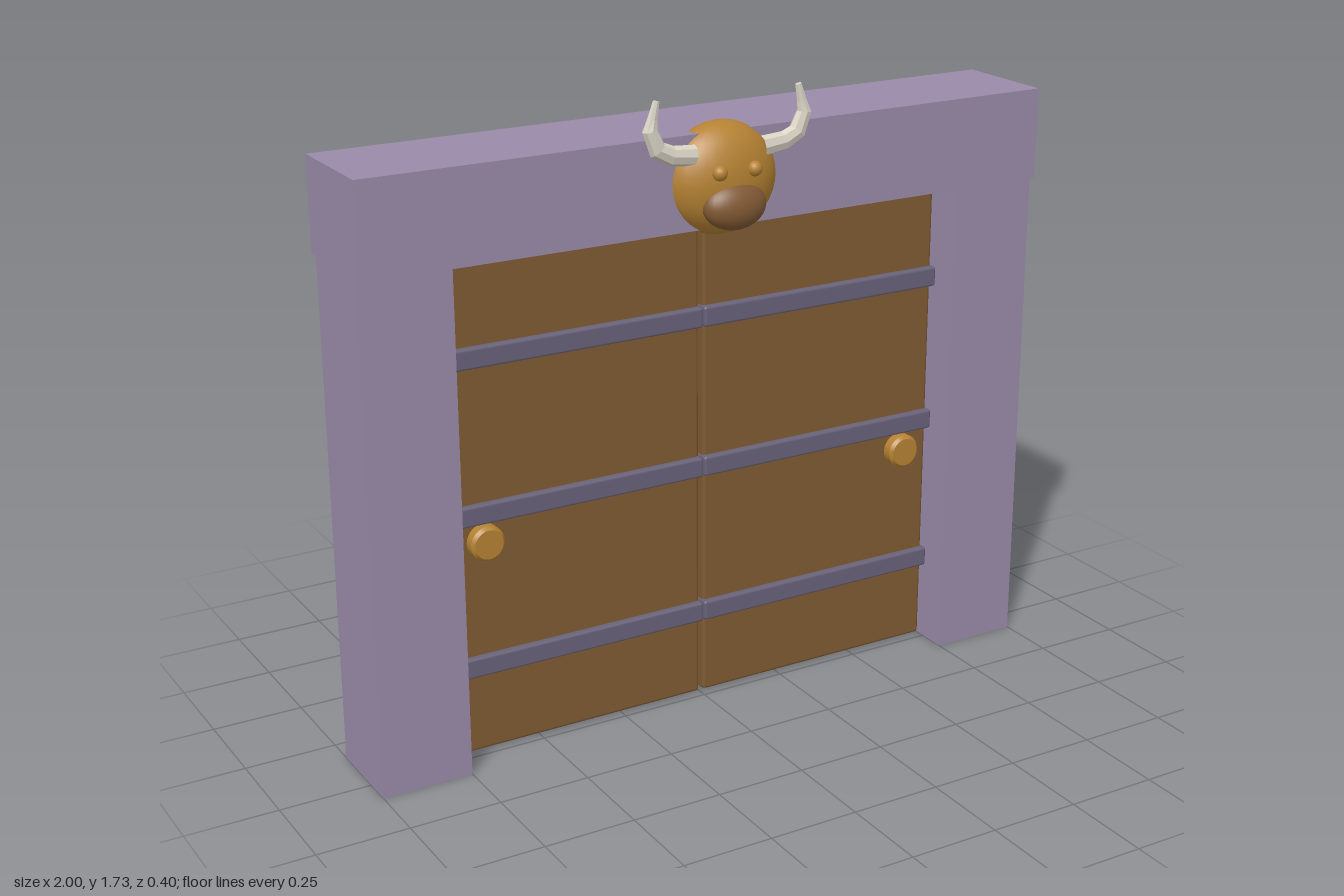
import * as THREE from 'three';
import { RoundedBoxGeometry } from 'three/addons/geometries/RoundedBoxGeometry.js';
import { toCreasedNormals } from 'three/addons/utils/BufferGeometryUtils.js';

const material = (name, color, flatShading = false) => {
  const m = new THREE.MeshStandardMaterial({ color, flatShading });
  m.name = name;
  return m;
};

// Lofted horn: rings of given radius set square to a bent path in the xy plane
function hornGeometry(stations, side, sides = 8) {
  const pos = [], index = [];
  stations.forEach(([x, y, r], i) => {
    const a = stations[Math.max(i - 1, 0)];
    const b = stations[Math.min(i + 1, stations.length - 1)];
    const dir = new THREE.Vector2(b[0] - a[0], b[1] - a[1]).normalize();
    for (let k = 0; k < sides; k++) {
      const t = (k / sides) * Math.PI * 2;
      const u = Math.cos(t) * r, w = Math.sin(t) * r * 0.8;
      pos.push(side * (x - dir.y * u), y + dir.x * u, w);
    }
  });
  const face = (a, b, c) => (side > 0 ? index.push(a, b, c) : index.push(a, c, b));
  for (let i = 0; i < stations.length - 1; i++) {
    for (let k = 0; k < sides; k++) {
      const a = i * sides + k, b = i * sides + ((k + 1) % sides);
      face(a, b, a + sides);
      face(b, b + sides, a + sides);
    }
  }
  // tip cap
  const last = (stations.length - 1) * sides;
  for (let k = 1; k < sides - 1; k++) face(last, last + k, last + k + 1);
  const g = new THREE.BufferGeometry();
  g.setAttribute('position', new THREE.Float32BufferAttribute(pos, 3));
  g.setIndex(index);
  g.computeVertexNormals();
  return g;
}

export function createModel() {
  const stone = material('purple stone', 0x9a8ba9);
  const wood = material('door wood', 0x805b33);
  const iron = material('dark iron', 0x69627a);
  const gold = material('golden brown', 0xb58233);
  const muzzle = material('muzzle brown', 0x825a34);
  const bone = material('horn bone', 0xd8d2c4, true);

  const model = new THREE.Group();
  model.name = 'gate';
  const add = (parent, name, geometry, mat, x, y, z) => {
    const mesh = new THREE.Mesh(geometry, mat);
    mesh.name = name;
    mesh.position.set(x, y, z);
    parent.add(mesh);
    return mesh;
  };

  // Stone frame
  add(model, 'lintel', new THREE.BoxGeometry(2, 0.25, 0.3), stone, 0, 1.502, -0.05);

  // Door leaf, straps and knob on each side
  const doorZ = -0.047;
  const knobProfile = [[0, -0.02], [0.048, -0.02], [0.048, 0.012], [0.04, 0.022], [0, 0.022]]
    .map(([r, h]) => new THREE.Vector2(r, h));
  const knobShape = toCreasedNormals(new THREE.LatheGeometry(knobProfile, 28).rotateX(Math.PI / 2), 0.5);
  for (const side of [1, -1]) {
    const label = side > 0 ? 'left' : 'right';
    add(model, label + 'Post', new THREE.BoxGeometry(0.25, 1.378, 0.25), stone, side * 0.875, 0.689, -0.045);

    const door = new THREE.Group();
    door.name = label + 'Door';
    model.add(door);
    add(door, 'doorPanel', new RoundedBoxGeometry(0.738, 1.345, 0.06, 1, 0.01), wood, side * 0.375, 0.678, doorZ);
    for (const y of [0.255, 0.682, 1.105]) {
      add(door, 'strap', new RoundedBoxGeometry(0.748, 0.057, 0.095, 1, 0.008), iron, side * 0.376, y, doorZ);
    }
    add(door, 'knob', knobShape, gold, side * 0.65, 0.605, -0.003);
  }

  // Horned head on the lintel
  const head = new THREE.Group();
  head.name = 'hornedHead';
  model.add(head);
  const ball = new THREE.SphereGeometry(1, 32, 20);
  add(head, 'skull', ball, gold, 0, 1.502, 0.075).scale.set(0.158, 0.148, 0.095);
  const snout = add(head, 'snout', ball, muzzle, 0, 1.445, 0.148);
  snout.scale.set(0.09, 0.064, 0.05);
  snout.rotation.x = -0.2;

  const hornPath = [[0.1, 1.578, 0.028], [0.165, 1.585, 0.026], [0.205, 1.605, 0.025],
    [0.226, 1.655, 0.021], [0.218, 1.685, 0.014], [0.207, 1.728, 0.009]];
  for (const side of [1, -1]) {
    const label = side > 0 ? 'left' : 'right';
    add(head, label + 'Eye', new THREE.SphereGeometry(0.02, 16, 12), gold, side * 0.051, 1.536, 0.163);
    add(head, label + 'Horn', hornGeometry(hornPath, side), bone, 0, 0, 0.118);
  }
  return model;
}
